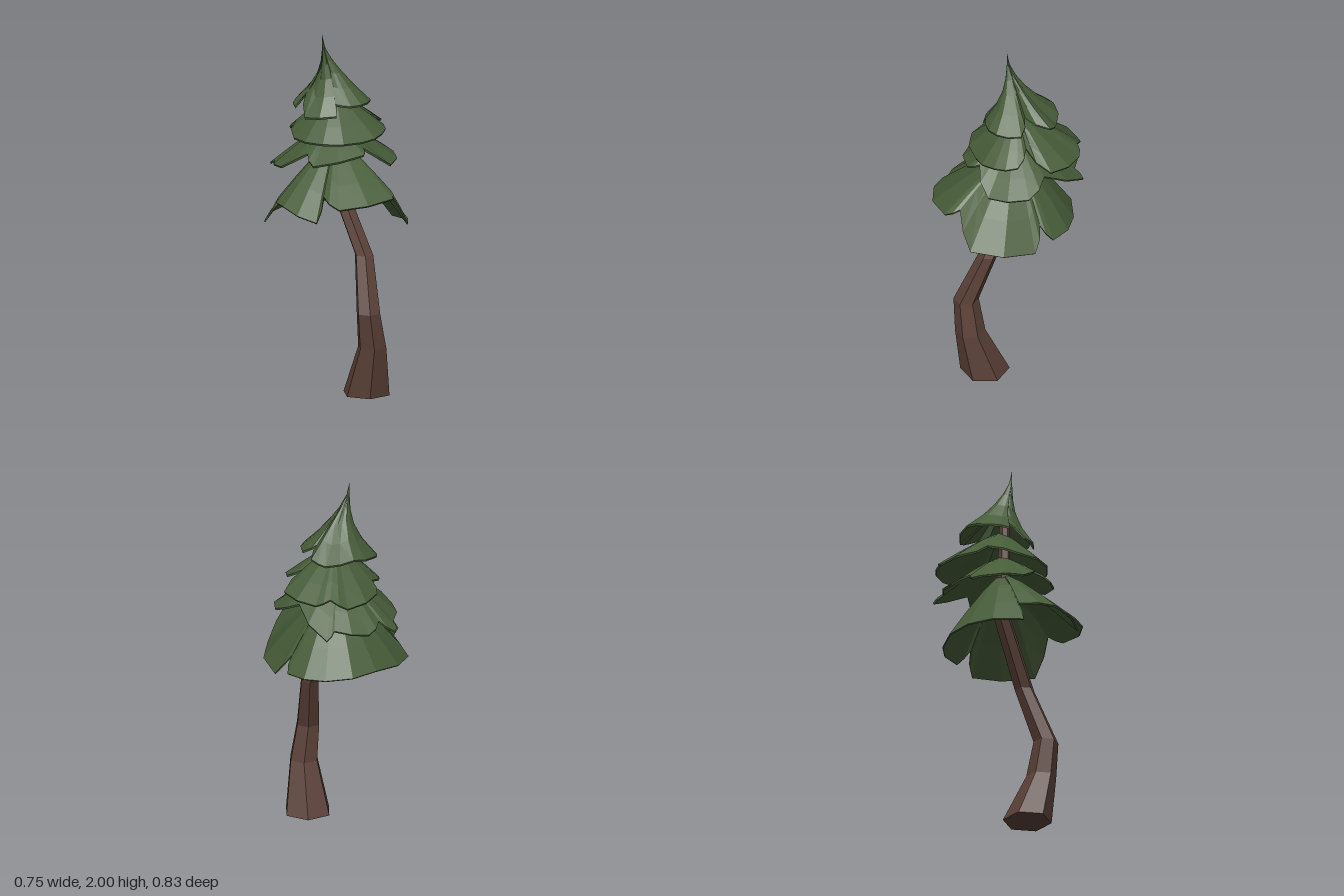
import * as THREE from 'three';

const V = (x, y, z) => new THREE.Vector3(x, y, z);

// Skins a list of equal-length rings, giving flat facets and skipping collapsed triangles.
function loft(rings) {
  const pos = [];
  const tri = (a, b, c) => {
    const n = b.clone().sub(a).cross(c.clone().sub(a));
    if (n.lengthSq() > 1e-14) for (const p of [a, b, c]) pos.push(p.x, p.y, p.z);
  };
  for (let r = 0; r + 1 < rings.length; r++) {
    const top = rings[r], low = rings[r + 1], n = top.length;
    for (let i = 0; i < n; i++) {
      const j = (i + 1) % n;
      tri(top[i], low[i], low[j]);
      tri(top[i], low[j], top[j]);
    }
  }
  const geo = new THREE.BufferGeometry();
  geo.setAttribute('position', new THREE.Float32BufferAttribute(pos, 3));
  geo.computeVertexNormals();
  return geo;
}

// Six-sided trunk along bent sections of [x, y, z, radius], top to bottom, capped at both ends.
function trunkGeometry(sections) {
  const ring = ([x, y, z, r], scale = 1) => Array.from({ length: 6 }, (_, i) => {
    const a = i * Math.PI / 3 + Math.PI / 2;
    return V(x + Math.sin(a) * r * scale, y, z + Math.cos(a) * r * scale);
  });
  return loft([ring(sections[0], 0), ...sections.map(s => ring(s)), ring(sections.at(-1), 0)]);
}

// Rounds the hem into lobes: each span gets a midpoint pushed outward by a share of its length.
function lobedHem(corners) {
  return corners.flatMap(([x, y, z], i) => {
    const [nx, ny, nz] = corners[(i + 1) % corners.length];
    const mid = V((x + nx) / 2 - 0.12 * (nz - z), (y + ny) / 2, (z + nz) / 2 + 0.12 * (nx - x));
    return [V(x, y, z), mid];
  });
}

// Thin ragged skirt from apex to hem: outer skin down, inner skin back up.
function skirtGeometry(apex, { droop, steps, bend = 0 }, corners) {
  const hem = lobedHem(corners);
  const ring = (t, drop) => hem.map(p => V(
    apex.x + (p.x - apex.x) * t + bend * (1 - t) ** 4,
    apex.y + (p.y - apex.y) * t ** droop - drop,
    apex.z + (p.z - apex.z) * t,
  ));
  const outer = steps.map(t => ring(t, 0));
  const inner = steps.map(t => ring(t * 0.985, 0.014)).reverse();
  return loft([...outer, ...inner]);
}

export function createModel() {
  const bark = new THREE.MeshStandardMaterial({ color: 0x5a4037 });
  bark.name = 'bark brown';
  const needles = new THREE.MeshStandardMaterial({ color: 0x465c38 });
  needles.name = 'needle green';

  const tree = new THREE.Group();
  tree.name = 'pineTree';
  const add = (name, geometry, material) => {
    const mesh = new THREE.Mesh(geometry, material);
    mesh.name = name;
    tree.add(mesh);
  };

  add('trunk', trunkGeometry([
    [0, 1.74, -0.058, 0.026], [0.005, 1.4, -0.058, 0.036], [0.035, 1.15, -0.045, 0.047],
    [0.072, 0.78, 0.145, 0.054], [0.018, 0.48, 0.252, 0.069],
    [0.05, 0.28, 0.245, 0.083], [0.073, 0, 0.165, 0.135],
  ]), bark);

  // Hem corners run front, +x side, back, -x side.
  const cone = { droop: 1.15, steps: [0, 0.35, 0.7, 1] };
  add('bottomFoliage', skirtGeometry(V(0.03, 1.42, -0.05), cone, [
    [0.06, 1.15, 0.415], [0.1, 1.18, 0.34], [0.22, 0.97, 0.345], [0.37, 0.93, 0.02],
    [0.3, 1.05, -0.05], [0.36, 0.97, -0.1], [0.24, 0.97, -0.3], [-0.05, 0.99, -0.36],
    [-0.345, 0.96, -0.21], [-0.27, 1.09, -0.18], [-0.375, 1.09, 0],
    [-0.31, 1.03, 0.21], [-0.23, 1.16, 0.17], [-0.23, 1.11, 0.31],
  ]), needles);
  add('lowerFoliage', skirtGeometry(V(0.02, 1.51, -0.06), cone, [
    [0, 1.37, 0.235], [0.04, 1.39, 0.18], [0.2, 1.28, 0.22], [0.35, 1.3, 0.05],
    [0.28, 1.36, -0.09], [0.26, 1.23, -0.35], [0.2, 1.27, -0.33], [0.03, 1.24, -0.415],
    [-0.07, 1.28, -0.355], [-0.145, 1.22, -0.41], [-0.175, 1.25, -0.33],
    [-0.275, 1.27, -0.15], [-0.2, 1.36, -0.01], [-0.23, 1.31, 0.08],
  ]), needles);
  add('upperFoliage', skirtGeometry(V(0.03, 1.66, -0.06), cone, [
    [0.02, 1.43, 0.195], [0.18, 1.45, 0.17], [0.265, 1.47, 0.07], [0.2, 1.53, -0.02],
    [0.37, 1.45, -0.08], [0.3, 1.43, -0.3], [0.225, 1.46, -0.33], [0.15, 1.41, -0.39],
    [-0.08, 1.43, -0.32], [-0.09, 1.48, -0.25], [-0.21, 1.43, -0.12], [-0.18, 1.43, 0.1],
  ]), needles);

  // Pointed crown with a concave flare and a tip leaning to -x.
  const crown = { droop: 0.5, steps: [0, 0.04, 0.15, 0.32, 0.6, 1], bend: -0.062 };
  add('crownFoliage', skirtGeometry(V(0, 2, -0.055), crown, [
    [0, 1.62, 0.12], [0.12, 1.625, 0.12], [0.2, 1.62, 0.01], [0.12, 1.68, -0.06],
    [0.24, 1.64, -0.15], [0.19, 1.61, -0.22], [0.05, 1.64, -0.285], [-0.1, 1.61, -0.24],
    [-0.17, 1.59, -0.16], [-0.1, 1.67, -0.145], [-0.18, 1.55, -0.06],
    [-0.075, 1.57, 0.09], [-0.06, 1.63, 0.06],
  ]), needles);
  return tree;
}
